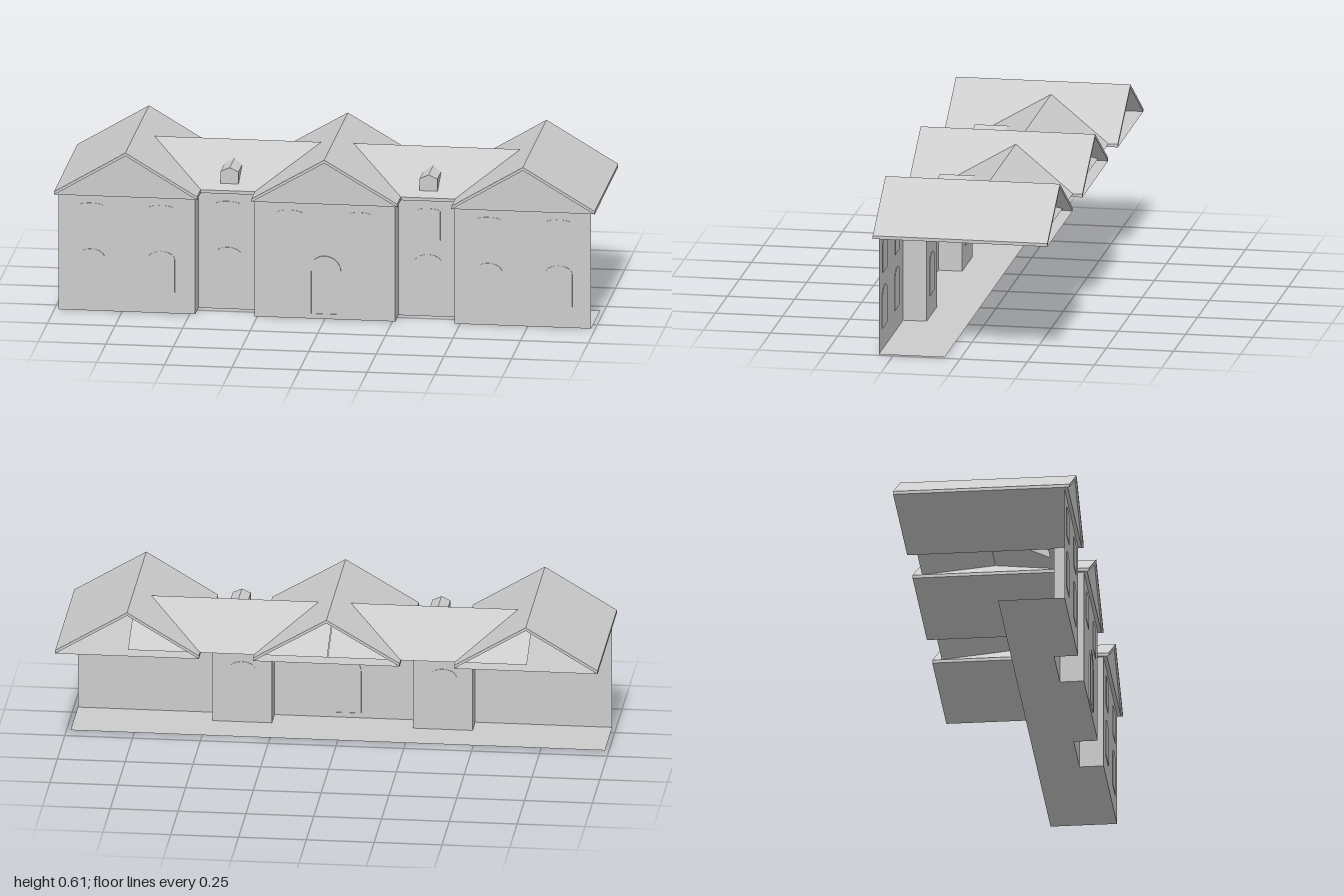
import * as THREE from 'three';

const EAVE = 0.452, SOFFIT = 0.44;
const RIDGE_Y = 0.575, RIDGE_Z = -0.04, FRONT_Z = 0.225, BACK_Z = -0.29;
const material = new THREE.MeshStandardMaterial({ color: 0xcccccc, side: THREE.DoubleSide, flatShading: true });

function mesh(name, geometry) {
  const m = new THREE.Mesh(geometry, material);
  m.name = name;
  return m;
}

// Flat convex polygons, each given as a list of corners
function faces(name, polygons) {
  const pos = [];
  for (const p of polygons)
    for (let i = 1; i < p.length - 1; i++) pos.push(...p[0], ...p[i], ...p[i + 1]);
  const g = new THREE.BufferGeometry();
  g.setAttribute('position', new THREE.Float32BufferAttribute(pos, 3));
  g.computeVertexNormals();
  return mesh(name, g);
}

function shapeOf(points) {
  return new THREE.Shape(points.map(([x, y]) => new THREE.Vector2(x, y)));
}

function extrude(name, shape, z0, z1) {
  const g = new THREE.ExtrudeGeometry(shape, { depth: z1 - z0, bevelEnabled: false, curveSegments: 8 });
  return mesh(name, g.translate(0, 0, z0));
}

// Opening with a low or full arched head
function archShape(x, y0, spring, top, w) {
  const s = new THREE.Shape();
  s.moveTo(x - w / 2, y0);
  s.lineTo(x + w / 2, y0);
  s.lineTo(x + w / 2, spring);
  s.absellipse(x, spring, w / 2, top - spring, 0, Math.PI, false);
  s.lineTo(x - w / 2, y0);
  return s;
}

// Gabled roof running front to back, open at the rear
function gableRoof(cx, half) {
  const g = new THREE.Group();
  g.name = 'gableRoof';
  g.add(extrude('roofSlopes', shapeOf([
    [-half, SOFFIT], [0, 0.598], [half, SOFFIT], [half, EAVE], [0, 0.61], [-half, EAVE],
  ]), -0.325, 0.325));
  g.add(faces('gable', [[[-half, SOFFIT, 0.318], [half, SOFFIT, 0.318], [0, 0.598, 0.318]]]));
  g.add(faces('soffit', [[
    [-half, SOFFIT, -0.325], [half, SOFFIT, -0.325], [half, SOFFIT, 0.318], [-half, SOFFIT, 0.318],
  ]]));
  g.position.x = cx;
  return g;
}

// Lower roof linking two gables, with a hollow dormer on its front slope
function linkRoof(cx) {
  const g = new THREE.Group();
  g.name = 'linkRoof';
  const h = 0.367, slope = (RIDGE_Y - EAVE) / (FRONT_Z - RIDGE_Z);
  const yAt = z => RIDGE_Y - (z - RIDGE_Z) * slope;
  const zAt = y => RIDGE_Z + (RIDGE_Y - y) / slope;

  const profile = [[-0.033, 0.469], [0.033, 0.469], [0.033, 0.515], [0, 0.53], [-0.033, 0.515]];
  const front = shapeOf([[-h, RIDGE_Z], [h, RIDGE_Z], [h, FRONT_Z], [-h, FRONT_Z]]);
  front.holes.push(new THREE.Path(profile.map(([x, y]) => new THREE.Vector2(x, zAt(y)))));
  const geo = new THREE.ShapeGeometry(front), p = geo.attributes.position;
  for (let i = 0; i < p.count; i++) p.setXYZ(i, p.getX(i), yAt(p.getY(i)), p.getY(i));
  geo.computeVertexNormals();
  g.add(mesh('frontSlope', geo));

  g.add(faces('backSlope', [[
    [-h, RIDGE_Y, RIDGE_Z], [h, RIDGE_Y, RIDGE_Z], [h, EAVE, BACK_Z], [-h, EAVE, BACK_Z],
  ]]));
  const e = 0.11;
  g.add(faces('eaves', [
    [[-e, SOFFIT, FRONT_Z], [e, SOFFIT, FRONT_Z], [e, EAVE, FRONT_Z], [-e, EAVE, FRONT_Z]],
    [[-e, SOFFIT, FRONT_Z], [e, SOFFIT, FRONT_Z], [e, SOFFIT, 0.217], [-e, SOFFIT, 0.217]],
  ]));

  const zf = 0.19;
  const dormer = [profile.map(([x, y]) => [x, y, zf])];
  for (let i = 1; i < 5; i++) {
    const a = profile[i], b = profile[(i + 1) % 5];
    dormer.push([[...a, zf], [...a, zAt(a[1])], [...b, zAt(b[1])], [...b, zf]]);
  }
  g.add(faces('dormer', dormer));
  g.position.x = cx;
  return g;
}

export function createModel() {
  const model = new THREE.Group();
  model.name = 'building';

  // Front wall in plan: three forward bays and two recesses
  const F = 0.305, R = 0.217;
  const plan = [
    [-0.985, F], [-0.48, F], [-0.48, R], [-0.26, R], [-0.26, F], [0.26, F],
    [0.26, R], [0.48, R], [0.48, F], [0.985, F],
  ];
  const panels = [];
  for (let i = 0; i < plan.length - 1; i++) {
    const [x0, z0] = plan[i], [x1, z1] = plan[i + 1];
    panels.push([[x0, 0, z0], [x1, 0, z1], [x1, SOFFIT, z1], [x0, SOFFIT, z0]]);
  }
  model.add(faces('frontWall', panels));

  // Floor strip behind the wall
  const floor = new THREE.ShapeGeometry(shapeOf([...plan, [0.985, 0.06], [-0.985, 0.06]]));
  model.add(mesh('floor', floor.rotateX(Math.PI / 2)));

  // Roofs
  for (const x of [-0.735, 0, 0.735]) model.add(gableRoof(x, x ? 0.265 : 0.27));
  for (const x of [-0.368, 0.368]) model.add(linkRoof(x));

  // Windows, almost flush with the wall
  const addWindows = (x, z, lower) => {
    model.add(extrude('upperWindow', archShape(x, 0.29, 0.4, 0.41, 0.09), z - 0.002, z + 0.002));
    if (lower) model.add(extrude('lowerWindow', archShape(x, 0.08, 0.205, 0.235, 0.1), z - 0.002, z + 0.002));
  };
  for (const bay of [-0.735, 0, 0.735])
    for (const side of [-1, 1]) addWindows(bay + side * 0.13, F, bay !== 0);
  for (const x of [-0.37, 0.37]) addWindows(x, R, true);

  // Arched door with a slim frame
  const frame = archShape(0, 0.02, 0.18, 0.24, 0.12);
  frame.holes.push(archShape(0, 0.02, 0.18, 0.23, 0.1));
  model.add(extrude('doorFrame', frame, 0.3, 0.31));
  model.add(extrude('door', archShape(0, 0.02, 0.18, 0.23, 0.1), 0.302, 0.307));

  return model;
}
